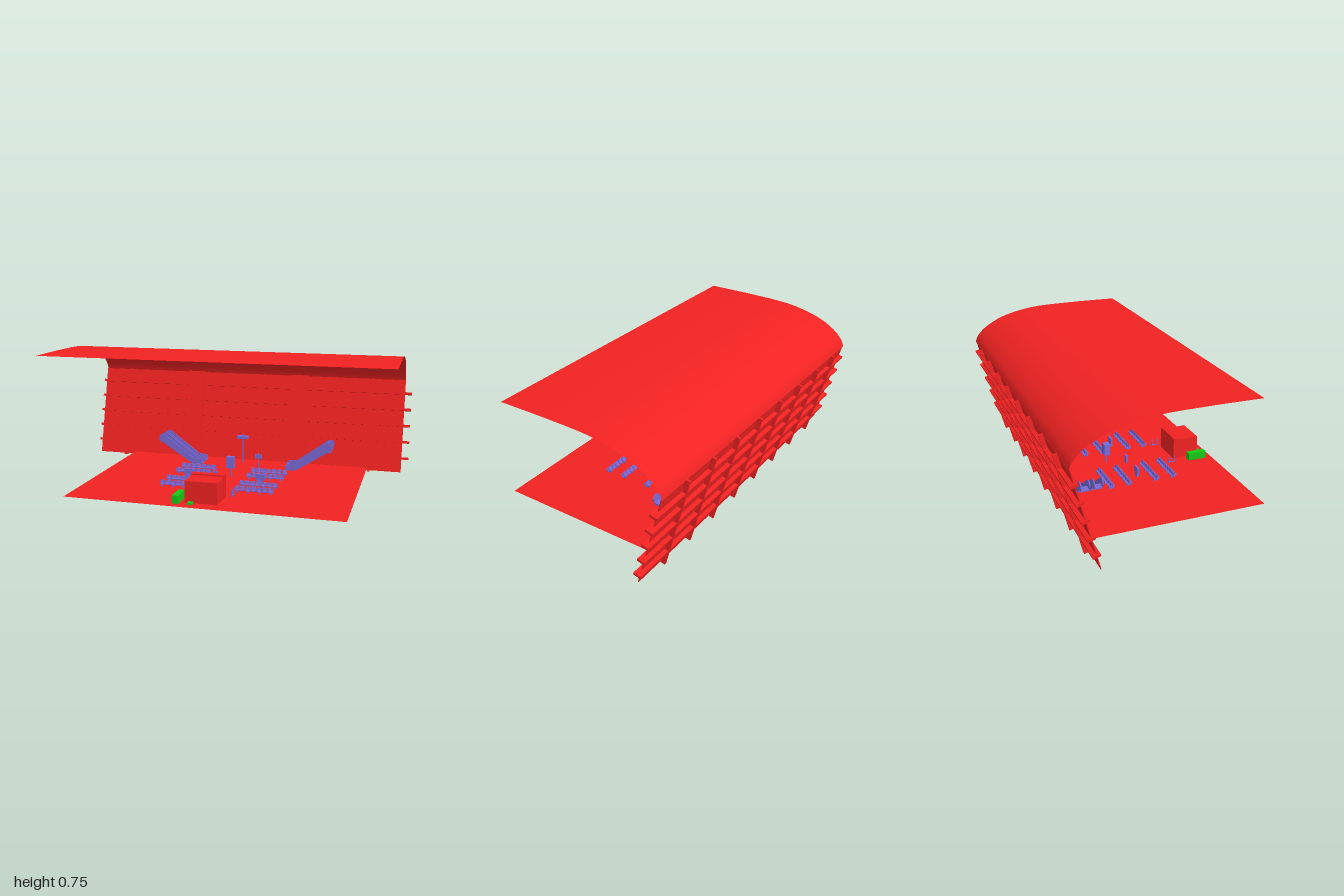
import * as THREE from 'three';

const mat = (color) => new THREE.MeshStandardMaterial({ color, side: THREE.DoubleSide });

export function createModel() {
  const model = new THREE.Group();
  const red = mat(0xf22222), purple = mat(0x7b6ad8), green = mat(0x14c814), grey = mat(0xcccccc);

  const add = (parent, name, geometry, material, x = 0, y = 0, z = 0) => {
    const mesh = new THREE.Mesh(geometry, material);
    mesh.name = name;
    mesh.position.set(x, y, z);
    parent.add(mesh);
    return mesh;
  };
  // Box given by its lower and upper corners
  const box = (parent, name, material, [x0, y0, z0], [x1, y1, z1]) =>
    add(parent, name, new THREE.BoxGeometry(x1 - x0, y1 - y0, z1 - z0), material,
      (x0 + x1) / 2, (y0 + y1) / 2, (z0 + z1) / 2);
  const group = (name, parent = model) => {
    const g = new THREE.Group();
    g.name = name;
    parent.add(g);
    return g;
  };

  // Floor sheet
  const floor = add(model, 'floor', new THREE.PlaneGeometry(1.51, 1.01), red, 0.005, 0.028, 0.085);
  floor.rotation.x = -Math.PI / 2;

  // Curved roof sheet, swept along x from a profile of [z, y]
  const profile = new THREE.SplineCurve([[0.38, 0.75], [0.1, 0.752], [-0.17, 0.745], [-0.36, 0.708],
    [-0.48, 0.652], [-0.545, 0.595], [-0.567, 0.55]].map(([z, y]) => new THREE.Vector2(z, y))).getPoints(32);
  const roofGeometry = new THREE.PlaneGeometry(1.95, 1, 1, 32);
  const pos = roofGeometry.attributes.position;
  for (let i = 0; i < pos.count; i++) {
    const p = profile[32 - Math.floor(i / 2)];
    pos.setXYZ(i, pos.getX(i) - 0.015, p.y, p.x);
  }
  roofGeometry.computeVertexNormals();
  add(model, 'roof', roofGeometry, red);

  // Leaning rear wall with a grid of ribs and two broad columns
  const wall = group('rearWall');
  wall.position.set(0, 0.007, -0.4175);
  wall.rotation.x = -0.257;
  box(wall, 'wallPanel', red, [-0.99, 0.008, -0.003], [0.96, 0.565, 0.001]);
  for (let i = 0; i < 5; i++) {
    const y = 0.092 + i * 0.098;
    box(wall, 'horizontalRib', red, [-1, y - 0.007, -0.025], [1, y + 0.007, 0.017]);
  }
  for (let i = 0; i < 8; i++) {
    const x = -0.815 + i * 0.226;
    box(wall, 'verticalRib', red, [x - 0.006, 0, -0.028], [x + 0.006, 0.567, 0.014]);
  }
  for (const x of [-0.357, 0.317]) {
    box(wall, 'wallColumn', red, [x - 0.053, 0, 0], [x + 0.053, 0.567, 0.028]);
  }

  // Front kiosk with its rear slab, base and side boxes
  box(model, 'kiosk', red, [-0.09, 0.03, 0.37], [0.087, 0.148, 0.52]);
  box(model, 'kioskRearSlab', red, [-0.09, 0.02, 0.367], [0.09, 0.156, 0.402]);
  box(model, 'kioskBase', grey, [-0.04, 0.015, 0.472], [0.08, 0.053, 0.513]);
  box(model, 'sideCounter', green, [-0.15, 0.03, 0.44], [-0.115, 0.073, 0.55]);
  box(model, 'frontStool', green, [-0.068, 0.03, 0.515], [-0.04, 0.04, 0.553]);

  // Escalators, each with two lanes of steps between balustrades
  const band = new THREE.Shape();
  band.moveTo(0.29, 0.035);
  band.lineTo(0.36, 0.035);
  band.lineTo(0.55, 0.158);
  band.quadraticCurveTo(0.572, 0.165, 0.566, 0.19);
  band.quadraticCurveTo(0.555, 0.21, 0.532, 0.202);
  band.lineTo(0.345, 0.066);
  band.lineTo(0.29, 0.06);
  band.closePath();
  const balustrade = new THREE.ExtrudeGeometry(band, { depth: 0.006, bevelEnabled: false });
  for (const side of [1, -1]) {
    const escalator = group(side > 0 ? 'leftEscalator' : 'rightEscalator');
    escalator.scale.x = side;
    escalator.position.x = side > 0 ? 0 : 0.06;
    for (const z of [-0.255, -0.328]) {
      for (const dz of [-0.027, 0.021]) add(escalator, 'balustrade', balustrade, purple, 0, 0, z + dz);
      for (let i = 0; i < 14; i++) {
        const x = 0.335 + i * 0.0148, y = 0.03 + i * 0.0094;
        box(escalator, 'step', purple, [x, y, z - 0.022], [x + 0.018, y + 0.012, z + 0.022]);
      }
      box(escalator, 'upperLanding', purple, [0.535, 0.152, z - 0.022], [0.562, 0.162, z + 0.022]);
      box(escalator, 'lowerLanding', purple, [0.29, 0.03, z - 0.022], [0.34, 0.038, z + 0.022]);
    }
  }

  // Back-to-back rows of seats on both sides of the aisle
  const seats = group('seating');
  for (const z of [0.265, 0.16, -0.005, -0.11]) {
    for (const x0 of [-0.32, 0.11]) {
      const row = group('seatRow', seats);
      row.position.set(x0, 0.028, z);
      box(row, 'seatBeam', purple, [0, 0.01, -0.003], [0.22, 0.015, 0.003]);
      for (let i = 0; i < 7; i++) {
        const x = 0.004 + i * 0.031;
        for (const s of [-1, 1]) {
          add(row, 'seat', new THREE.BoxGeometry(0.024, 0.004, 0.014), purple, x + 0.012, 0.018, s * 0.011);
          const back = add(row, 'seatBack', new THREE.BoxGeometry(0.024, 0.016, 0.003), purple,
            x + 0.012, 0.028, s * 0.004);
          back.rotation.x = -s * 0.25;
        }
        if (i % 2 === 0) box(row, 'seatLeg', purple, [x + 0.009, 0, -0.015], [x + 0.014, 0.012, 0.015]);
      }
    }
  }

  // Boards between the seat rows
  for (const x of [-0.215, 0.21]) {
    box(model, 'rowBoard', purple, [x - 0.026, 0.05, 0.074], [x + 0.026, 0.085, 0.084]);
    box(model, 'rowBoardFoot', purple, [x - 0.015, 0.028, 0.074], [x + 0.015, 0.05, 0.088]);
  }

  // Pole-mounted signs: [x, z, pole top, panel size, panel height]
  const signs = [
    [0, -0.342, 0.208, [0.07, 0.016, 0.036], 0.19],
    [0.14, -0.175, 0.138, [0.04, 0.025, 0.006], 0.118],
    [0.01, -0.022, 0.148, [0.045, 0.066, 0.034], 0.114],
    [-0.05, 0.08, 0.085, [0.025, 0.045, 0.012], 0.06],
  ];
  for (const [x, z, top, size, y] of signs) {
    const sign = group('poleSign');
    add(sign, 'pole', new THREE.CylinderGeometry(0.004, 0.004, top - 0.028, 8), purple, x, (top + 0.028) / 2, z);
    add(sign, 'signPanel', new THREE.BoxGeometry(...size), purple, x, y, z);
  }

  // Low queue posts beside the kiosk
  for (const x of [-0.13, 0.12]) {
    for (const z of [0.32, 0.355]) {
      add(model, 'queuePost', new THREE.CylinderGeometry(0.003, 0.005, 0.04, 8), purple, x, 0.048, z);
    }
    box(model, 'queueRail', purple, [x - 0.002, 0.03, 0.32], [x + 0.002, 0.035, 0.355]);
  }
  return model;
}
